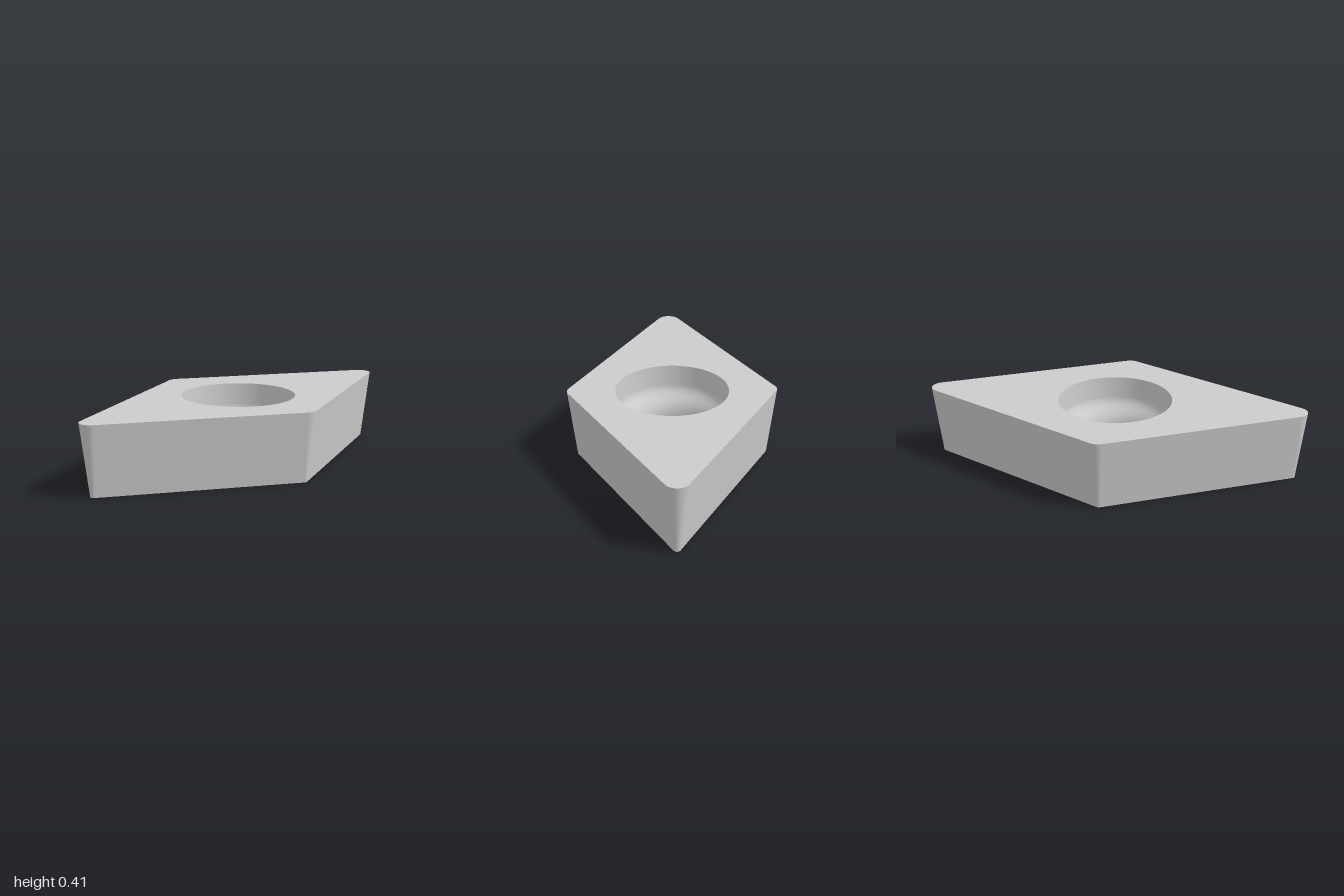
import * as THREE from 'three';

const H = 0.415;            // thickness
const R_TOP = 0.07;         // corner radius at the top
const R_BOTTOM = 0.02;      // corner radius at the bottom
const HOLE_TOP = 0.333, HOLE_BOTTOM = 0.245;
const STEPS = 12;

// Corner centres (x, -z) with the start and end angle of each rounded corner
const CORNERS = [
  [0.93, 0.483, -35, 90],
  [-0.254, 0.483, 90, 145],
  [-0.93, -0.483, 145, 270],
  [0.254, -0.483, 270, 325],
];

// Rounded rhombus outline; each point keeps its outward angle
function outline(radius) {
  const pts = [];
  for (const [cx, cy, from, to] of CORNERS) {
    for (let i = 0; i <= STEPS; i++) {
      const a = THREE.MathUtils.degToRad(from + (to - from) * i / STEPS);
      pts.push({ x: cx + radius * Math.cos(a), y: cy + radius * Math.sin(a), a });
    }
  }
  return pts;
}

// Flat face with the round hole; side is 1 for the top, -1 for the bottom
function faceGeometry(radius, holeRadius, y, side) {
  const shape = new THREE.Shape(outline(radius).map(p => new THREE.Vector2(p.x, side * p.y)));
  const hole = new THREE.Path();
  hole.absarc(0, 0, holeRadius, 0, Math.PI * 2, true);
  shape.holes.push(hole);
  const geo = new THREE.ShapeGeometry(shape, 48);
  geo.rotateX(-side * Math.PI / 2);
  geo.translate(0, y, 0);
  return geo;
}

// Tapered flank joining the two outlines, with cone-shaped corners
function flankGeometry() {
  const low = outline(R_BOTTOM), high = outline(R_TOP), n = low.length;
  const tilt = Math.atan2(R_TOP - R_BOTTOM, H);
  const pos = [], nor = [], idx = [];
  for (let i = 0; i < n; i++) {
    for (const [p, y] of [[low[i], 0], [high[i], H]]) {
      pos.push(p.x, y, -p.y);
      nor.push(Math.cos(p.a) * Math.cos(tilt), -Math.sin(tilt), -Math.sin(p.a) * Math.cos(tilt));
    }
    const a = 2 * i, b = 2 * ((i + 1) % n);
    idx.push(a, b, b + 1, a, b + 1, a + 1);
  }
  const geo = new THREE.BufferGeometry();
  geo.setAttribute('position', new THREE.Float32BufferAttribute(pos, 3));
  geo.setAttribute('normal', new THREE.Float32BufferAttribute(nor, 3));
  geo.setIndex(idx);
  return geo;
}

// Screw hole: steep upper wall, curved seat, straight lower bore
function holeGeometry() {
  const seat = new THREE.CubicBezierCurve(
    new THREE.Vector2(0.325, 0.29), new THREE.Vector2(0.318, 0.22),
    new THREE.Vector2(HOLE_BOTTOM, 0.22), new THREE.Vector2(HOLE_BOTTOM, 0.11));
  const profile = [
    new THREE.Vector2(HOLE_TOP, H),
    ...seat.getPoints(16),
    new THREE.Vector2(HOLE_BOTTOM, 0),
  ];
  return new THREE.LatheGeometry(profile, 96);
}

export function createModel() {
  const group = new THREE.Group();
  group.name = 'cuttingInsert';
  const material = new THREE.MeshStandardMaterial({ color: 0xcccccc });
  const add = (name, geo) => {
    const mesh = new THREE.Mesh(geo, material);
    mesh.name = name;
    group.add(mesh);
  };
  add('topFace', faceGeometry(R_TOP, HOLE_TOP, H, 1));
  add('bottomFace', faceGeometry(R_BOTTOM, HOLE_BOTTOM, 0, -1));
  add('flank', flankGeometry());
  add('screwHole', holeGeometry());
  return group;
}
